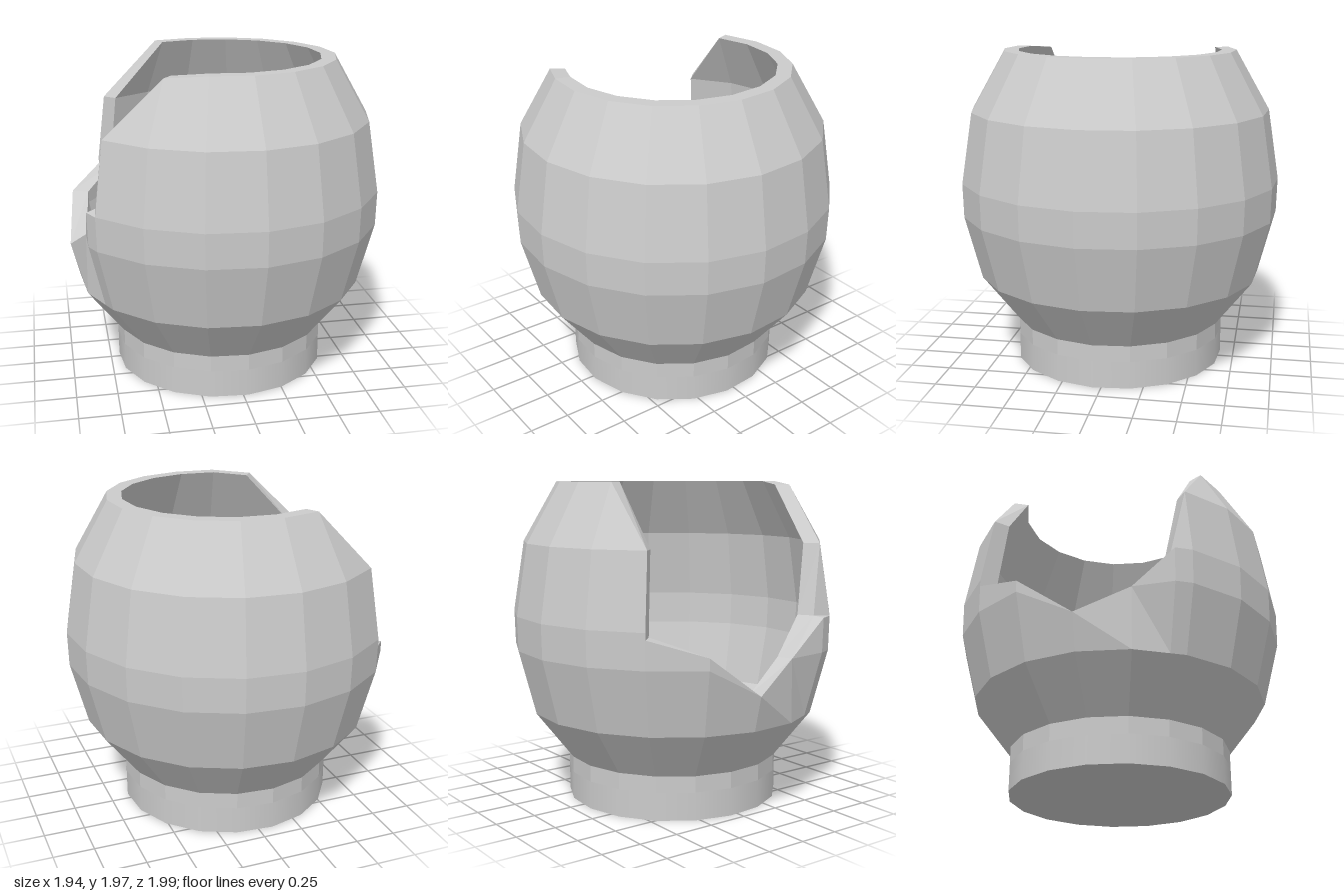
import * as THREE from 'three';

const CX = -0.03; // axis of the vessel
const material = new THREE.MeshStandardMaterial({ color: 0xcccccc, flatShading: true, side: THREE.DoubleSide });
const smooth = new THREE.MeshStandardMaterial({ color: 0xcccccc, side: THREE.DoubleSide });

// Wall profiles as [radius, height]
const OUTER = [[0.665, 0.27], [0.893, 0.565], [0.995, 0.96], [1.0, 1.17], [0.93, 1.605], [0.72, 1.97]];
const INNER = [[0.75, 0.5], [0.8, 0.565], [0.885, 0.96], [0.895, 1.17], [0.83, 1.605], [0.63, 1.97]];

// Columns of the wall: angle, height where the wall is broken off, optional outer radius there
const OFFSET = 4.7;
const broken = {
  6: [{ cap: 1.95 }],
  7: [{ cap: 1.605 }, { cap: 1.18, turn: 6, radius: 0.925, flat: 0.987 }],
  8: [{ cap: 0.95, radius: 0.89 }],
  9: [{ cap: 0.78 }],
  10: [{ cap: 1.03 }],
  11: [{ cap: 1.13 }, { cap: 1.605 }],
};
const columns = [];
for (let k = 0; k < 18; k++) {
  for (const c of broken[k] || [{ cap: 1.97 }]) {
    columns.push({ flat: 1, ...c, angle: THREE.MathUtils.degToRad(OFFSET + 20 * k + (c.turn || 0)) });
  }
}

function radiusAt(profile, y) {
  for (let i = 1; i < profile.length; i++) {
    const [r0, y0] = profile[i - 1], [r1, y1] = profile[i];
    if (y <= y1) return r0 + (r1 - r0) * (y - y0) / (y1 - y0);
  }
  return profile[profile.length - 1][0];
}

// Point of a column on a profile row, cut off at the break
function wallPoint(col, profile, row) {
  const y = Math.min(profile[row][1], col.cap);
  let r = radiusAt(profile, y) * col.flat;
  if (col.radius && y === col.cap) r = col.radius - (profile === INNER ? 0.1 : 0);
  return new THREE.Vector3(CX + r * Math.cos(col.angle), y, r * Math.sin(col.angle));
}

function fromTriangles(list) {
  const area = new THREE.Triangle();
  const pts = list.filter(t => area.set(...t).getArea() > 1e-6).flat();
  const g = new THREE.BufferGeometry().setFromPoints(pts);
  g.computeVertexNormals();
  return g;
}

function wall(profile, inward) {
  const tris = [];
  columns.forEach((col, i) => {
    const next = columns[(i + 1) % columns.length];
    for (let j = 0; j < profile.length - 1; j++) {
      const a = wallPoint(col, profile, j), b = wallPoint(next, profile, j);
      const c = wallPoint(next, profile, j + 1), d = wallPoint(col, profile, j + 1);
      if (inward) tris.push([a, c, d], [a, b, c]);
      else tris.push([a, d, c], [a, c, b]);
    }
  });
  return fromTriangles(tris);
}

// Thickness of the wall along the rim and the broken edge
function rim() {
  const tris = [], top = OUTER.length - 1;
  columns.forEach((col, i) => {
    const next = columns[(i + 1) % columns.length];
    const o0 = wallPoint(col, OUTER, top), i0 = wallPoint(col, INNER, top);
    const o1 = wallPoint(next, OUTER, top), i1 = wallPoint(next, INNER, top);
    tris.push([o0, i0, i1], [o0, i1, o1]);
  });
  return fromTriangles(tris);
}

function floor() {
  const centre = new THREE.Vector3(CX, INNER[0][1], 0);
  return fromTriangles(columns.map((col, i) =>
    [centre, wallPoint(columns[(i + 1) % columns.length], INNER, 0), wallPoint(col, INNER, 0)]));
}

export function createModel() {
  const group = new THREE.Group();
  group.name = 'brokenPot';
  const add = (name, geometry, mat = material) => {
    const mesh = new THREE.Mesh(geometry, mat);
    mesh.name = name;
    group.add(mesh);
    return mesh;
  };
  add('outerWall', wall(OUTER, false));
  add('innerWall', wall(INNER, true));
  add('brokenRim', rim());
  add('innerFloor', floor());

  // Foot: faceted neck above a smooth band, closed underneath
  const turn = THREE.MathUtils.degToRad(90 - OFFSET);
  const ring = (name, y0, y1, mat) => {
    const g = new THREE.CylinderGeometry(0.665, 0.665, y1 - y0, 18, 1, true).rotateY(turn);
    add(name, g.translate(CX, (y0 + y1) / 2, 0), mat);
  };
  ring('footNeck', 0.17, 0.27, material);
  ring('footBand', 0, 0.17, smooth);
  const base = new THREE.CircleGeometry(0.665, 18).rotateX(Math.PI / 2);
  add('footBase', base.rotateY(-THREE.MathUtils.degToRad(OFFSET)).translate(CX, 0, 0));
  return group;
}
